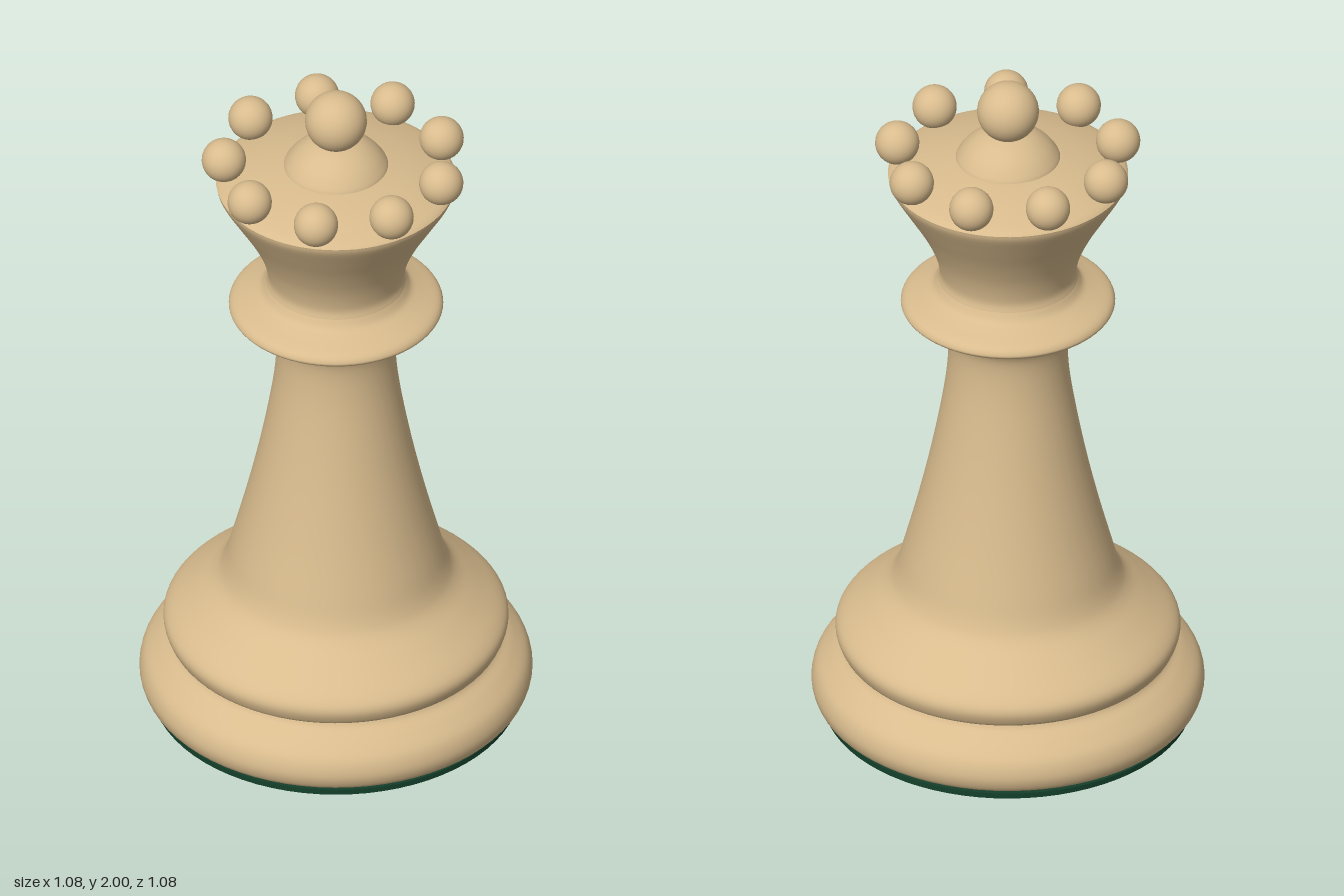
import * as THREE from 'three';

export function createModel() {
  const group = new THREE.Group();
  const wood = new THREE.MeshStandardMaterial({ color: 0xd9bc8e });
  wood.name = 'pale wood';
  const felt = new THREE.MeshStandardMaterial({ color: 0x14402b });
  felt.name = 'green felt';

  const add = (name, geometry, material = wood) => {
    const mesh = new THREE.Mesh(geometry, material);
    mesh.name = name;
    group.add(mesh);
    return mesh;
  };

  // Turned part: a smooth curve through [radius, height] points, bottom to top
  const turned = (name, profile, steps) => {
    const curve = new THREE.SplineCurve(profile.map(([r, y]) => new THREE.Vector2(r, y)));
    const points = curve.getPoints(steps);
    points.forEach((p) => { p.x = Math.max(p.x, 0); });
    return add(name, new THREE.LatheGeometry(points, 72));
  };

  // Felt pad and flat underside
  const pad = add('feltPad', new THREE.CylinderGeometry(0.508, 0.508, 0.016, 72), felt);
  pad.position.y = 0.008;
  const underside = add('underside', new THREE.CylinderGeometry(0.43, 0.43, 0.016, 72));
  underside.position.y = 0.02;
  const bottom = add('baseBottom', new THREE.CircleGeometry(0.51, 72));
  bottom.rotation.x = Math.PI / 2;
  bottom.position.y = 0.026;

  // Rounded foot
  turned('foot', [
    [0.51, 0.026], [0.53, 0.042], [0.54, 0.08], [0.527, 0.125],
    [0.49, 0.162], [0.458, 0.185], [0.448, 0.2],
  ], 30);

  // Second base ring flowing into the tapering stem
  turned('stem', [
    [0.448, 0.2], [0.463, 0.212], [0.474, 0.25], [0.455, 0.285], [0.39, 0.338],
    [0.335, 0.385], [0.308, 0.43], [0.285, 0.51], [0.25, 0.645], [0.215, 0.8],
    [0.185, 0.96], [0.168, 1.08], [0.165, 1.17], [0.178, 1.222],
    [0.212, 1.252], [0.27, 1.28],
  ], 80);

  // Collar
  turned('collar', [
    [0.27, 1.28], [0.29, 1.293], [0.294, 1.305], [0.28, 1.322], [0.235, 1.341],
    [0.207, 1.356], [0.192, 1.38],
  ], 30);

  // Flaring crown with a crisp rim
  turned('crown', [
    [0.192, 1.38], [0.188, 1.41], [0.205, 1.475], [0.24, 1.55], [0.285, 1.627],
    [0.322, 1.69], [0.33, 1.715],
  ], 30);
  turned('crownTop', [[0.33, 1.715], [0.31, 1.728], [0.23, 1.752], [0.15, 1.768], [0.135, 1.768]], 16);

  // Dome and finial ball
  turned('dome', [
    [0.145, 1.762], [0.139, 1.778], [0.115, 1.808], [0.08, 1.834], [0.04, 1.848], [0, 1.852],
  ], 24);
  const finial = add('finial', new THREE.SphereGeometry(0.085, 40, 28));
  finial.position.y = 1.915;

  // Nine beads around the rim
  const beadGeometry = new THREE.SphereGeometry(0.061, 32, 22);
  for (let i = 0; i < 9; i++) {
    const a = (i / 9) * Math.PI * 2;
    const bead = add('crownBead', beadGeometry);
    bead.position.set(0.308 * Math.cos(a), 1.782, 0.308 * Math.sin(a));
  }

  return group;
}
